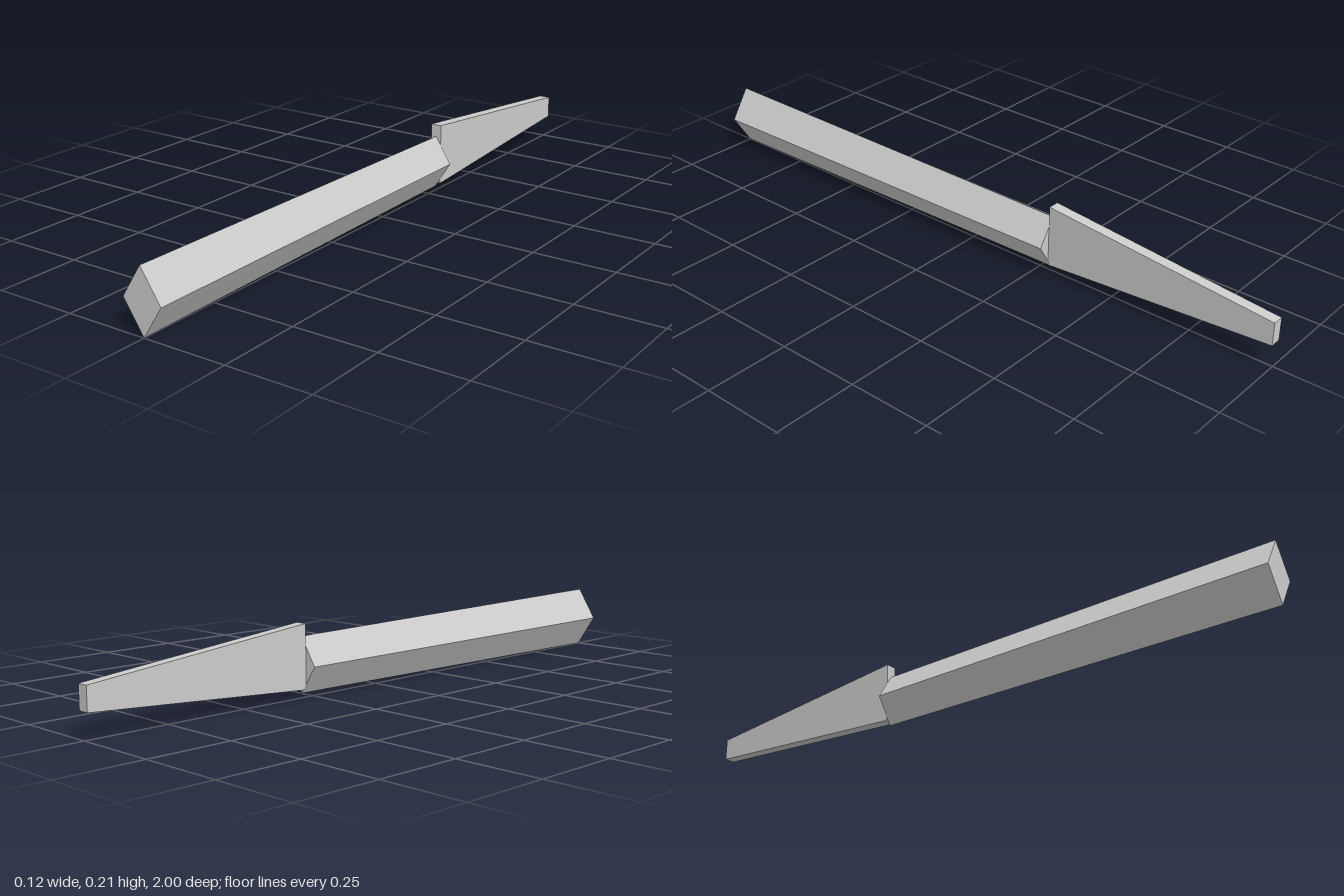
import * as THREE from 'three';

export function createModel() {
  const group = new THREE.Group();
  const grey = new THREE.MeshStandardMaterial({ color: 0xcccccc, flatShading: true });
  grey.name = 'grey';

  const add = (name, geometry) => {
    const flat = geometry.toNonIndexed();
    flat.computeVertexNormals();
    const mesh = new THREE.Mesh(flat, grey);
    mesh.name = name;
    group.add(mesh);
  };

  // Handle: diamond bar, slightly narrower toward the blade
  const handle = new THREE.CylinderGeometry(1, 0.86, 1.29, 4);
  handle.rotateX(Math.PI / 2);
  handle.scale(0.061, 0.0935, 1);
  handle.translate(0, 0.0945, 0.355);
  add('handle', handle);

  // Blade: thin slab tapering in height toward the back tip
  const blade = new THREE.BoxGeometry(0.034, 1, 0.71);
  const pos = blade.attributes.position;
  for (let i = 0; i < pos.count; i++) {
    const [bottom, top] = pos.getZ(i) > 0 ? [0.026, 0.212] : [0.073, 0.141];
    pos.setY(i, pos.getY(i) > 0 ? top : bottom);
  }
  blade.translate(0, 0, -0.645);
  add('blade', blade);

  return group;
}
